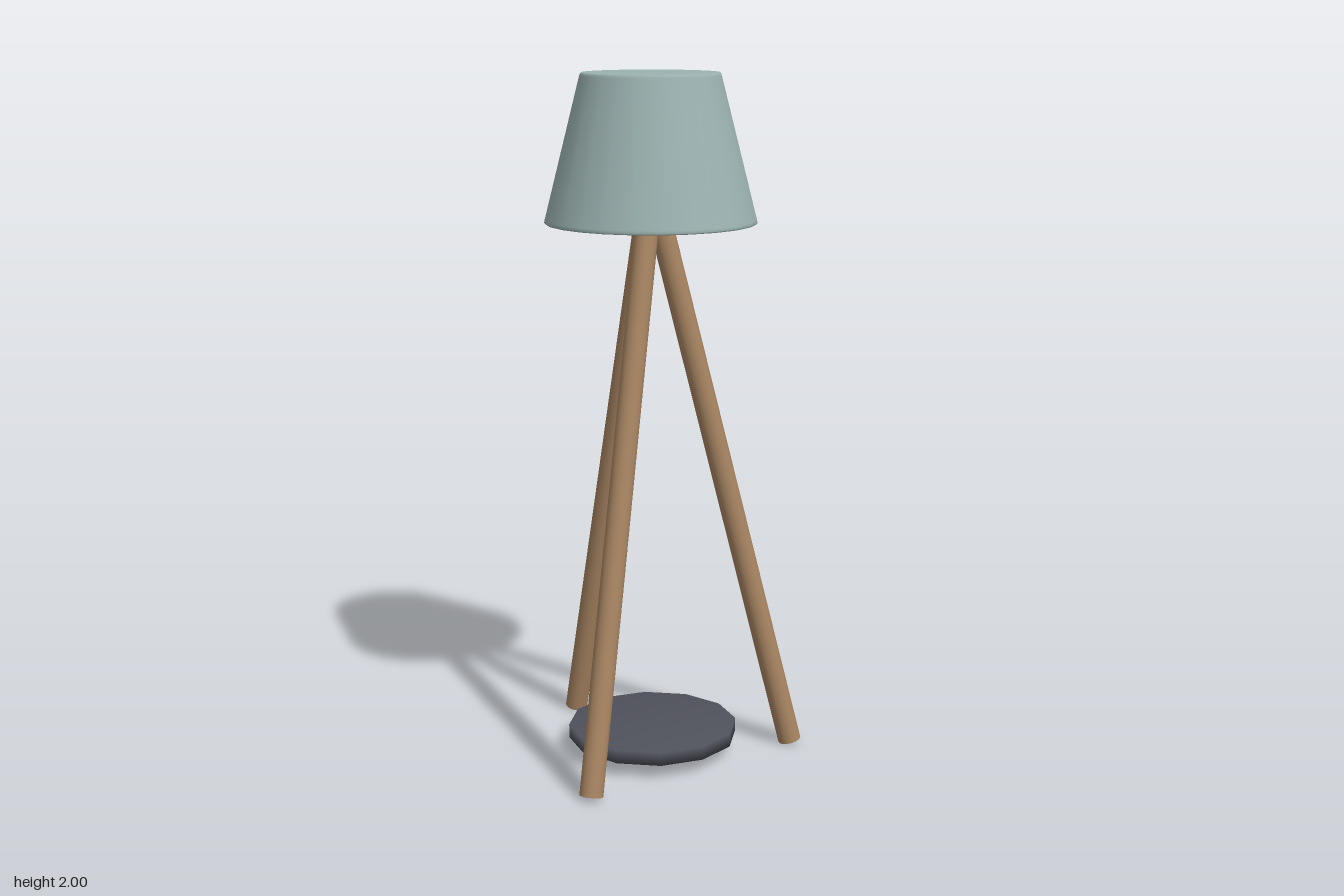
import * as THREE from 'three';

const AXIS_X = -0.075; // shared vertical axis of shade, tray and leg apex

function lathe(name, profile, sides, material) {
  const points = profile.map(([r, y]) => new THREE.Vector2(r, y));
  const mesh = new THREE.Mesh(new THREE.LatheGeometry(points, sides), material);
  mesh.name = name;
  mesh.position.x = AXIS_X;
  return mesh;
}

// Round bar between two points
function bar(name, from, to, radius, material) {
  const dir = to.clone().sub(from);
  const mesh = new THREE.Mesh(new THREE.CylinderGeometry(radius, radius, dir.length(), 16), material);
  mesh.position.copy(from).add(to).multiplyScalar(0.5);
  mesh.quaternion.setFromUnitVectors(new THREE.Vector3(0, 1, 0), dir.normalize());
  mesh.name = name;
  return mesh;
}

export function createModel() {
  const fabric = new THREE.MeshStandardMaterial({ color: 0x9cb3b1 });
  fabric.name = 'sage fabric';
  const wood = new THREE.MeshStandardMaterial({ color: 0xa88562 });
  wood.name = 'warm wood';
  const metal = new THREE.MeshStandardMaterial({ color: 0x50525c });
  metal.name = 'dark metal';

  const group = new THREE.Group();
  group.name = 'tripodFloorLamp';

  // Closed tapered shade with slightly softened rims
  group.add(lathe('shade', [
    [0, 1.58], [0.295, 1.58], [0.3, 1.58], [0.303, 1.584], [0.301, 1.592],
    [0.2, 1.99], [0.198, 1.997], [0.194, 2], [0.188, 2], [0, 2],
  ], 24, fabric));

  // Three splayed legs meeting inside the shade
  for (let i = 0; i < 3; i++) {
    const a = (i * Math.PI * 2) / 3;
    const at = (r, y) => new THREE.Vector3(AXIS_X + r * Math.cos(a), y, r * Math.sin(a));
    group.add(bar('leg' + (i + 1), at(0.416, 0.008), at(0.012, 1.64), 0.034, wood));
  }

  // Low disc between the legs, softly shaded across its rim
  group.add(lathe('baseDisc', [[0, 0.043], [0.25, 0.043], [0.25, 0.083], [0, 0.083]], 12, metal));

  return group;
}
